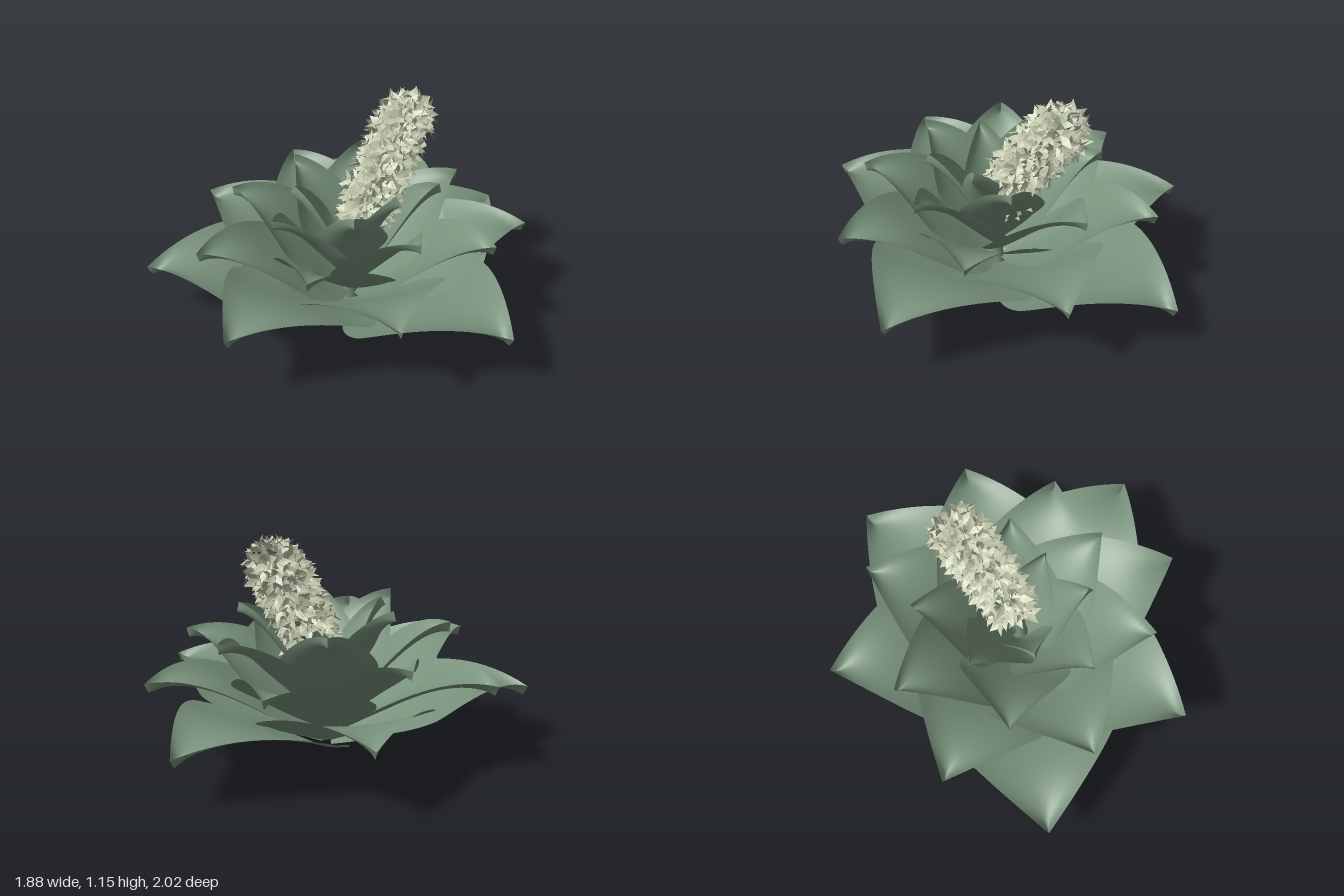
import * as THREE from 'three';
import { mergeGeometries } from 'three/addons/utils/BufferGeometryUtils.js';

const LEAVES = 24;
const GOLDEN = THREE.MathUtils.degToRad(137.5);
const CENTRE = new THREE.Vector3(-0.07, 0, 0.06);

function seeded(seed) {
  return () => {
    seed = (seed * 16807) % 2147483647;
    return seed / 2147483647;
  };
}

// Half width along a leaf: narrow foot, broad low belly, straight-sided tip
function leafWidth(t) {
  const peak = 0.43;
  if (t < peak) return 0.04 + 0.96 * Math.sin((t / peak) * Math.PI / 2);
  return 1 - Math.pow((t - peak) / (1 - peak), 1.25);
}

// Leaf swept along an arching midrib towards +x, its edges curled up evenly to the tip
function leafGeometry(reach, tipY, baseY, droop) {
  const rise = tipY - baseY;
  const rib = new THREE.CubicBezierCurve(
    new THREE.Vector2(0.02, baseY),
    new THREE.Vector2(reach * 0.4, baseY + Math.max(0.18, rise * 0.42)),
    new THREE.Vector2(reach * 0.7, tipY + droop),
    new THREE.Vector2(reach, tipY));
  const rows = 28, cols = 12, half = 0.02 + 0.43 * reach;
  const pos = [], index = [];
  for (let i = 0; i <= rows; i++) {
    const t = i / rows;
    const p = rib.getPoint(t), d = rib.getTangent(t);
    const w = half * leafWidth(t);
    const curl = 0.05 * Math.min(1, t * 4);
    for (let j = 0; j <= cols; j++) {
      const s = (j / cols) * 2 - 1;
      const lift = curl * s * s;
      pos.push(p.x - d.y * lift, p.y + d.x * lift, s * w);
      if (i < rows && j < cols) {
        const a = i * (cols + 1) + j, b = a + cols + 1;
        index.push(a, a + 1, b, b, a + 1, b + 1);
      }
    }
  }
  const geo = new THREE.BufferGeometry();
  geo.setAttribute('position', new THREE.Float32BufferAttribute(pos, 3));
  geo.setIndex(index);
  geo.computeVertexNormals();
  return geo;
}

// Small open star of broad folded petals facing +y
function flowerGeometry() {
  const pos = [];
  const at = (a, r, y) => [Math.cos(a) * r, y, Math.sin(a) * r];
  const petals = 5, step = (Math.PI * 2) / petals;
  for (let k = 0; k < petals; k++) {
    const a = k * step;
    const foot = [0, 0, 0];
    const tip = at(a, 0.062, 0.05);
    const left = at(a - step * 0.48, 0.033, 0.03);
    const right = at(a + step * 0.48, 0.033, 0.03);
    const fold = at(a, 0.03, 0.03);
    pos.push(...foot, ...fold, ...left, ...left, ...fold, ...tip,
      ...foot, ...right, ...fold, ...fold, ...right, ...tip);
  }
  const geo = new THREE.BufferGeometry();
  geo.setAttribute('position', new THREE.Float32BufferAttribute(pos, 3));
  geo.computeVertexNormals();
  return geo;
}

export function createModel() {
  const root = new THREE.Group();
  root.name = 'floweringRosette';
  const leafMat = new THREE.MeshStandardMaterial({ color: 0x7a937d, side: THREE.DoubleSide });
  const flowerMat = new THREE.MeshStandardMaterial({ color: 0xc6ccb0, side: THREE.DoubleSide, flatShading: true });

  // Spiral of leaves, shorter and more upright towards the heart
  const rosette = new THREE.Group();
  rosette.name = 'leafRosette';
  rosette.position.copy(CENTRE);
  for (let i = 0; i < LEAVES; i++) {
    const reach = Math.max(0.3, 1.05 - 0.027 * i - 0.00035 * i * i);
    const tipY = Math.min(0.74, 0.21 + 0.036 * i - 0.0004 * i * i);
    const droop = 0.19 - 0.24 * Math.min(i / 20, 1);
    const leaf = new THREE.Mesh(leafGeometry(reach, tipY, 0.01 + 0.012 * i, droop), leafMat);
    leaf.name = 'leaf';
    leaf.rotation.y = Math.PI / 2 + i * GOLDEN;
    rosette.add(leaf);
  }
  root.add(rosette);

  // Flower stalk leaning backwards
  const path = new THREE.CatmullRomCurve3([
    new THREE.Vector3(-0.07, 0.06, 0.05),
    new THREE.Vector3(-0.06, 0.34, 0.07),
    new THREE.Vector3(-0.05, 0.62, -0.05),
    new THREE.Vector3(-0.055, 0.86, -0.20),
    new THREE.Vector3(-0.055, 1.08, -0.36)]);
  const stalk = new THREE.Mesh(new THREE.TubeGeometry(path, 24, 0.03, 8), leafMat);
  stalk.name = 'flowerStalk';
  root.add(stalk);

  // Flowers packed around the upper stalk, closing over its end
  const rand = seeded(7);
  const star = flowerGeometry();
  const up = new THREE.Vector3(0, 1, 0), side = new THREE.Vector3(1, 0, 0);
  const blooms = [];
  const count = 160;
  for (let i = 0; i < count; i++) {
    const t = i / (count - 1);
    const u = 0.42 + 0.58 * t;
    const axis = path.getPointAt(u), dir = path.getTangentAt(u);
    const across = new THREE.Vector3().crossVectors(dir, side).normalize();
    const a = i * GOLDEN;
    const out = side.clone().multiplyScalar(Math.cos(a)).addScaledVector(across, Math.sin(a));
    const cap = Math.max(0, (t - 0.9) / 0.1);
    const face = out.clone().addScaledVector(dir, 0.25 + 1.2 * cap + (rand() - 0.5) * 0.7).normalize();
    const spin = new THREE.Quaternion().setFromAxisAngle(up, rand() * 6.28);
    const turn = new THREE.Quaternion().setFromUnitVectors(up, face).multiply(spin);
    const at = axis.addScaledVector(out, (0.075 + 0.03 * rand()) * (1 - 0.5 * cap));
    const size = 0.85 + 0.35 * rand();
    const m = new THREE.Matrix4().compose(at, turn, new THREE.Vector3(size, size, size));
    blooms.push(star.clone().applyMatrix4(m));
  }
  const spike = new THREE.Mesh(mergeGeometries(blooms), flowerMat);
  spike.name = 'flowerSpike';
  root.add(spike);

  return root;
}
